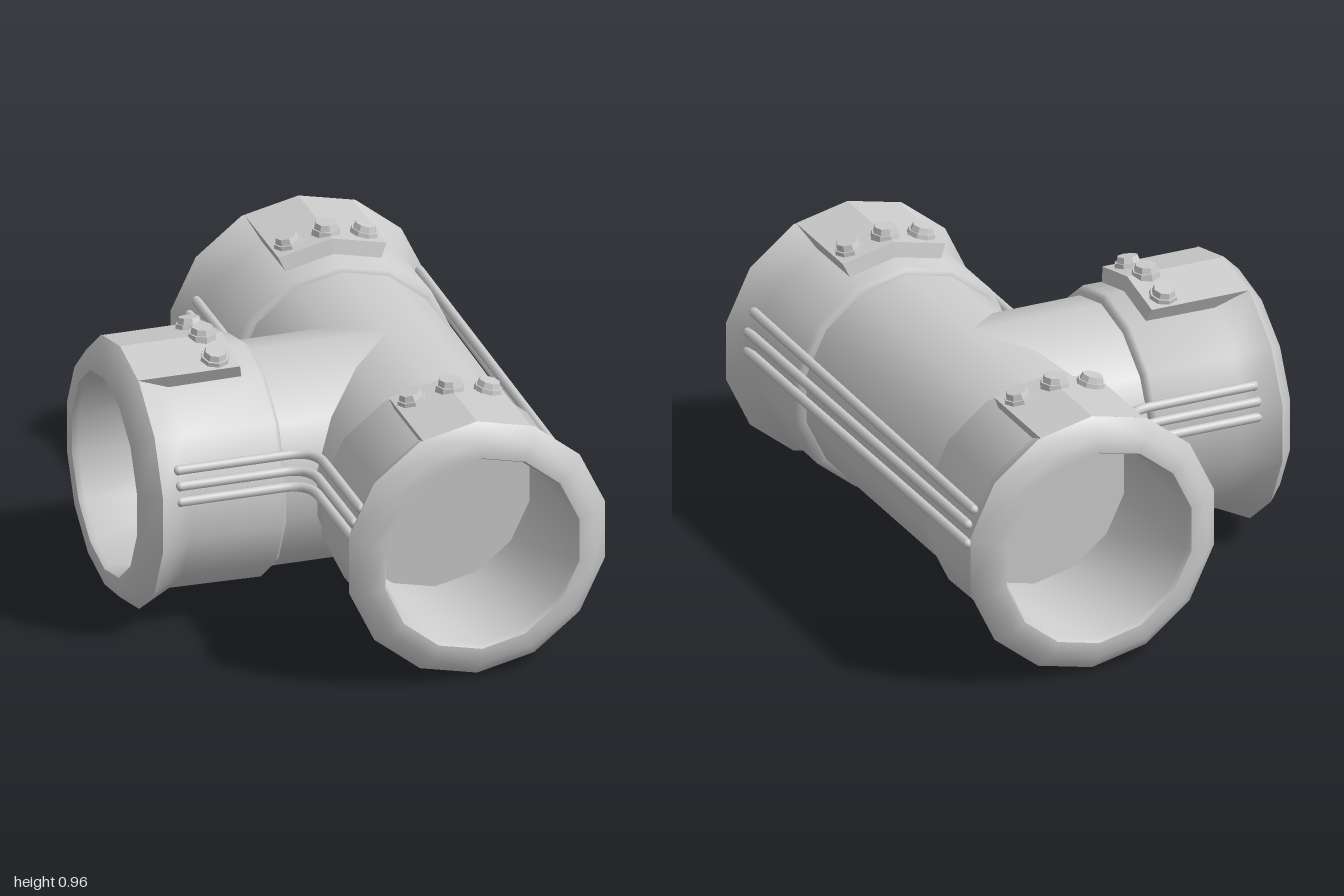
import * as THREE from 'three';
import { toCreasedNormals } from 'three/addons/utils/BufferGeometryUtils.js';

const SIDES = 14;
const STEP = (Math.PI * 2) / SIDES;
const AXIS_Y = 0.471;   // height of the pipe axes
const AXIS_X = 0.273;   // where the three arms meet
const BODY_R = 0.382;

const smooth = new THREE.MeshStandardMaterial({ color: 0xcccccc });
const flat = new THREE.MeshStandardMaterial({ color: 0xcccccc, flatShading: true });

function add(parent, name, geometry, material) {
  const mesh = new THREE.Mesh(geometry, material);
  mesh.name = name;
  parent.add(mesh);
  return mesh;
}

// Collar, flared rim and blind bore in one turned profile [radius, distance]
function collarGeometry() {
  const profile = [
    [0.37, 0.488], [0.4, 0.49], [0.413, 0.508], [0.408, 0.83], [0.464, 0.945],
    [0.408, 1], [0.352, 1], [0.342, 0.98], [0.342, 0.5], [0, 0.5],
  ].map(([r, d]) => new THREE.Vector2(r, d));
  const g = new THREE.LatheGeometry(profile, SIDES).rotateX(Math.PI / 2);
  return toCreasedNormals(g, 0.9);
}

// Two-faced saddle plate continuing the top facets of the rim
function saddleGeometry() {
  const at = (r, a) => new THREE.Vector2(r * Math.sin(a), r * Math.cos(a));
  const a = STEP * 0.95;
  const shape = new THREE.Shape([
    at(0.395, -a), at(0.395, 0), at(0.395, a), at(0.462, a), at(0.464, 0), at(0.462, -a),
  ]);
  const g = new THREE.ExtrudeGeometry(shape, { depth: 0.375, bevelEnabled: false });
  g.translate(0, 0, 0.57);
  // slant the free end so the top edge sits slightly back
  const p = g.attributes.position;
  for (let i = 0; i < p.count; i++) {
    const r = Math.hypot(p.getX(i), p.getY(i));
    if (p.getZ(i) < 0.6 && r > 0.43) p.setZ(i, 0.585);
  }
  g.computeVertexNormals();
  return g;
}

function makeBolt() {
  const bolt = new THREE.Group();
  bolt.name = 'bolt';
  add(bolt, 'boltWasher', new THREE.CylinderGeometry(0.048, 0.053, 0.03, 8), flat).position.y = 0.005;
  add(bolt, 'boltHead', new THREE.CylinderGeometry(0.036, 0.044, 0.026, 8), flat).position.y = 0.027;
  return bolt;
}

function makeArm(name, turn) {
  const arm = new THREE.Group();
  arm.name = name;
  const body = new THREE.CylinderGeometry(BODY_R, BODY_R, 0.499, SIDES, 1, true);
  add(arm, 'pipeBody', body.rotateX(Math.PI / 2).translate(0, 0, 0.2495), smooth);
  add(arm, 'collar', collarGeometry(), smooth);
  add(arm, 'saddlePlate', saddleGeometry(), flat);
  // three bolts fanned across the saddle
  [-1, 0, 1].forEach((i) => {
    const angle = i * 0.3;
    const r = i === 0 ? 0.455 : 0.449;
    const bolt = makeBolt();
    bolt.position.set(r * Math.sin(angle), r * Math.cos(angle), 0.655);
    bolt.rotation.z = -angle * 0.8;
    arm.add(bolt);
  });
  arm.rotation.y = turn;
  return arm;
}

// Thin line along a curve, with rounded ends
function makeLine(name, curve, segments) {
  const line = new THREE.Group();
  line.name = name;
  const r = 0.017;
  add(line, 'tube', new THREE.TubeGeometry(curve, segments, r, 8), smooth);
  [0, 1].forEach((t) => {
    add(line, 'tubeEnd', new THREE.SphereGeometry(r, 8, 6), smooth).position.copy(curve.getPoint(t));
  });
  return line;
}

export function createModel() {
  const model = new THREE.Group();
  model.name = 'teePipe';
  const tee = new THREE.Group();
  tee.name = 'tee';
  tee.position.set(AXIS_X, AXIS_Y, 0);
  model.add(tee);

  tee.add(makeArm('frontArm', 0), makeArm('backArm', Math.PI), makeArm('sideArm', -Math.PI / 2));

  const V = (x, y, z) => new THREE.Vector3(x, y, z);
  // [height, distance from axis] for each line of the bundles
  const cornerRows = [[0.164, 0.385], [0.116, 0.41], [0.06, 0.414]];
  const straightRows = [[0.164, 0.388], [0.104, 0.41], [0.034, 0.412]];

  // bundles bending around both inner corners
  [1, -1].forEach((s) => cornerRows.forEach(([y, o]) => {
    const path = new THREE.CurvePath();
    const b = o + 0.1;
    path.add(new THREE.LineCurve3(V(-0.87, y, s * o), V(-b, y, s * o)));
    path.add(new THREE.QuadraticBezierCurve3(V(-b, y, s * o), V(-o, y, s * o), V(-o, y, s * b)));
    path.add(new THREE.LineCurve3(V(-o, y, s * b), V(-o, y, s * 0.87)));
    tee.add(makeLine('cornerLine', path, 60));
  }));

  // slightly tilted bundle along the straight side
  straightRows.forEach(([y, o], i) => {
    const tilt = i === 0 ? 0 : 0.009;
    const curve = new THREE.LineCurve3(V(o - 0.002, y - tilt, 0.865), V(o + 0.012, y + tilt, -0.86));
    tee.add(makeLine('straightLine', curve, 8));
  });

  return model;
}
